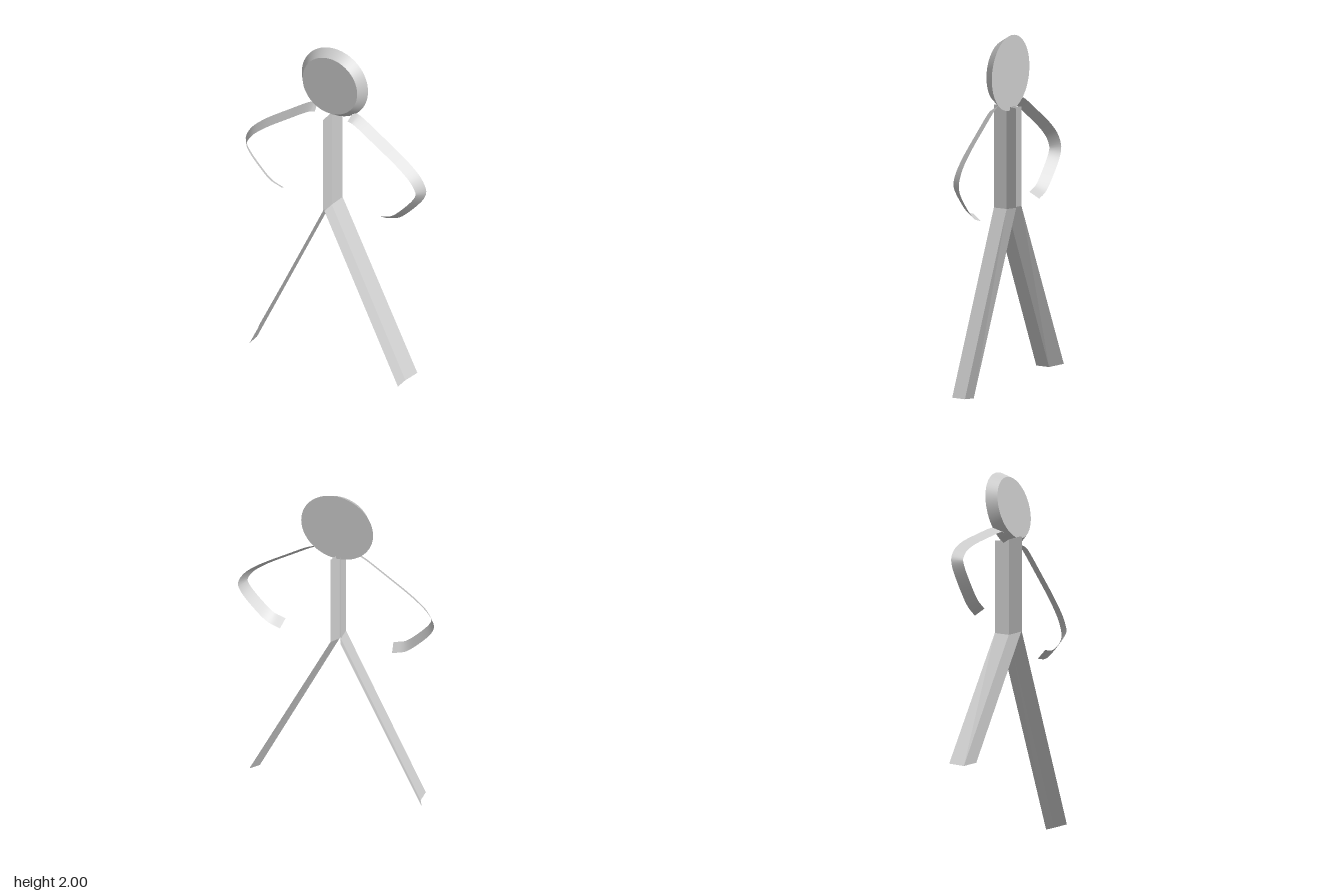
import * as THREE from 'three';

const material = new THREE.MeshStandardMaterial({ color: 0xcccccc, side: THREE.DoubleSide });

// Open sheet spanning successive rows of equally many points
function sheet(name, rows, smooth) {
  const n = rows[0].length;
  const positions = rows.flat().flatMap(p => [p.x, p.y, p.z]);
  const index = [];
  for (let r = 0; r < rows.length - 1; r++) {
    for (let i = 0; i < n - 1; i++) {
      const a = r * n + i, b = a + 1, c = a + n, d = c + 1;
      index.push(a, b, c, b, d, c);
    }
  }
  let geometry = new THREE.BufferGeometry();
  geometry.setAttribute('position', new THREE.Float32BufferAttribute(positions, 3));
  geometry.setIndex(index);
  if (!smooth) geometry = geometry.toNonIndexed();
  geometry.computeVertexNormals();
  const mesh = new THREE.Mesh(geometry, material);
  mesh.name = name;
  return mesh;
}

// Arm: a bevelled ribbon, wide at the back and inset towards the front
function arm(name, side) {
  const curve = new THREE.CatmullRomCurve3([
    [0.115, 1.625], [0.15, 1.617], [0.3, 1.522], [0.48, 1.395], [0.555, 1.32],
    [0.586, 1.25], [0.572, 1.2], [0.48, 1.088], [0.41, 1.027], [0.335, 1.0],
  ].map(([x, y]) => new THREE.Vector3(x, y, 0)), false, 'centripetal');
  const back = [], front = [];
  for (let i = 0; i <= 48; i++) {
    const p = curve.getPointAt(i / 48), t = curve.getTangentAt(i / 48);
    back.push(new THREE.Vector3(side * p.x, p.y, -0.03));
    front.push(new THREE.Vector3(side * (p.x + 0.037 * t.y), p.y - 0.037 * t.x, 0.026));
  }
  return sheet(name, side > 0 ? [back, front] : [front, back], true);
}

// Half of the torso and its leg: a folded sheet, flared outwards at the back
function bodySide(side) {
  const flared = [[0.03, 1.59], [0.03, 1.02], [0.515, 0.02]];
  const straight = [[0.004, 1.59], [0.004, 1.0], [0.481, 0.0]];
  const row = (points, z) => points.map(([x, y]) => new THREE.Vector3(-0.015 + side * x, y, z));
  const rows = [row(flared, -0.078), row(straight, -0.002), row(straight, 0.08)];
  if (side < 0) rows.reverse();
  const half = new THREE.Group();
  half.name = side > 0 ? 'leftBody' : 'rightBody';
  half.add(sheet('torsoSide', rows.map(r => r.slice(0, 2)), false));
  half.add(sheet('leg', rows.map(r => r.slice(1)), false));
  return half;
}

export function createModel() {
  const model = new THREE.Group();
  model.name = 'stickFigure';

  // Head: a shallow disc with a bevelled rim
  const head = new THREE.Mesh(new THREE.CylinderGeometry(0.177, 0.215, 0.056, 64), material);
  head.name = 'head';
  head.rotation.x = Math.PI / 2;
  head.position.set(-0.007, 1.785, -0.002);
  model.add(head);

  model.add(arm('leftArm', 1), arm('rightArm', -1));
  model.add(bodySide(1), bodySide(-1));
  return model;
}
